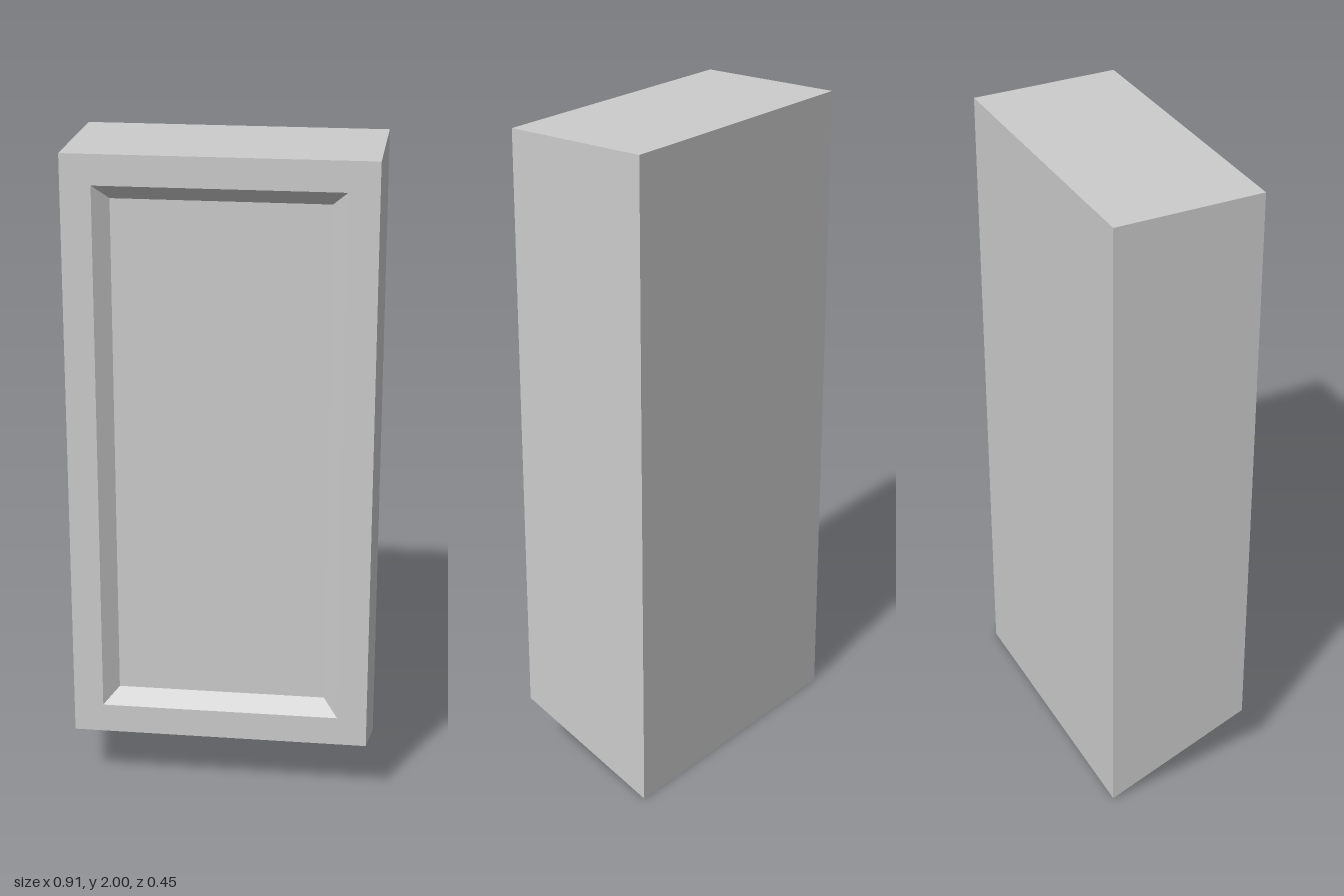
import * as THREE from 'three';

const HALF_W = 0.453, HALF_D = 0.227, TOP = 2, FRONT_BOTTOM = 0.185;
const BORDER = 0.09, BEVEL = 0.045;

// Rectangular section, corners counter-clockwise as seen from the front
const section = (halfW, bottom, top, z) => [
  [-halfW, bottom, z], [halfW, bottom, z], [halfW, top, z], [-halfW, top, z],
];

// Front-face section moved in from the outer edge
const inset = (d, z) => section(HALF_W - d, FRONT_BOTTOM + d, TOP - d, z);

// Quads joining each section to the next
function loft(sections) {
  const quads = [];
  for (let s = 0; s < sections.length - 1; s++) {
    const a = sections[s], b = sections[s + 1];
    for (let i = 0; i < 4; i++) {
      const j = (i + 1) % 4;
      quads.push([a[i], a[j], b[j], b[i]]);
    }
  }
  return quads;
}

function quadMesh(name, quads) {
  const points = quads.flatMap(([a, b, c, d]) => [a, b, c, a, c, d]).flat();
  const geometry = new THREE.BufferGeometry();
  geometry.setAttribute('position', new THREE.Float32BufferAttribute(points, 3));
  geometry.computeVertexNormals();
  const material = new THREE.MeshStandardMaterial({ color: 0xcccccc, flatShading: true });
  const mesh = new THREE.Mesh(geometry, material);
  mesh.name = name;
  return mesh;
}

export function createModel() {
  const group = new THREE.Group();
  group.name = 'slantedCabinet';

  const back = section(HALF_W, 0, TOP, -HALF_D);
  const front = inset(0, HALF_D);
  const rim = inset(BORDER, HALF_D);
  const floor = inset(BORDER + BEVEL, HALF_D - BEVEL);

  // Sides, top, sloping underside and back
  group.add(quadMesh('cabinetBody', [...loft([back, front]), [...back].reverse()]));
  // Flat border around the front
  group.add(quadMesh('frontFrame', loft([front, rim])));
  // Bevelled recess and its flat panel
  group.add(quadMesh('recessBevel', loft([rim, floor])));
  group.add(quadMesh('recessedPanel', [floor]));

  return group;
}
